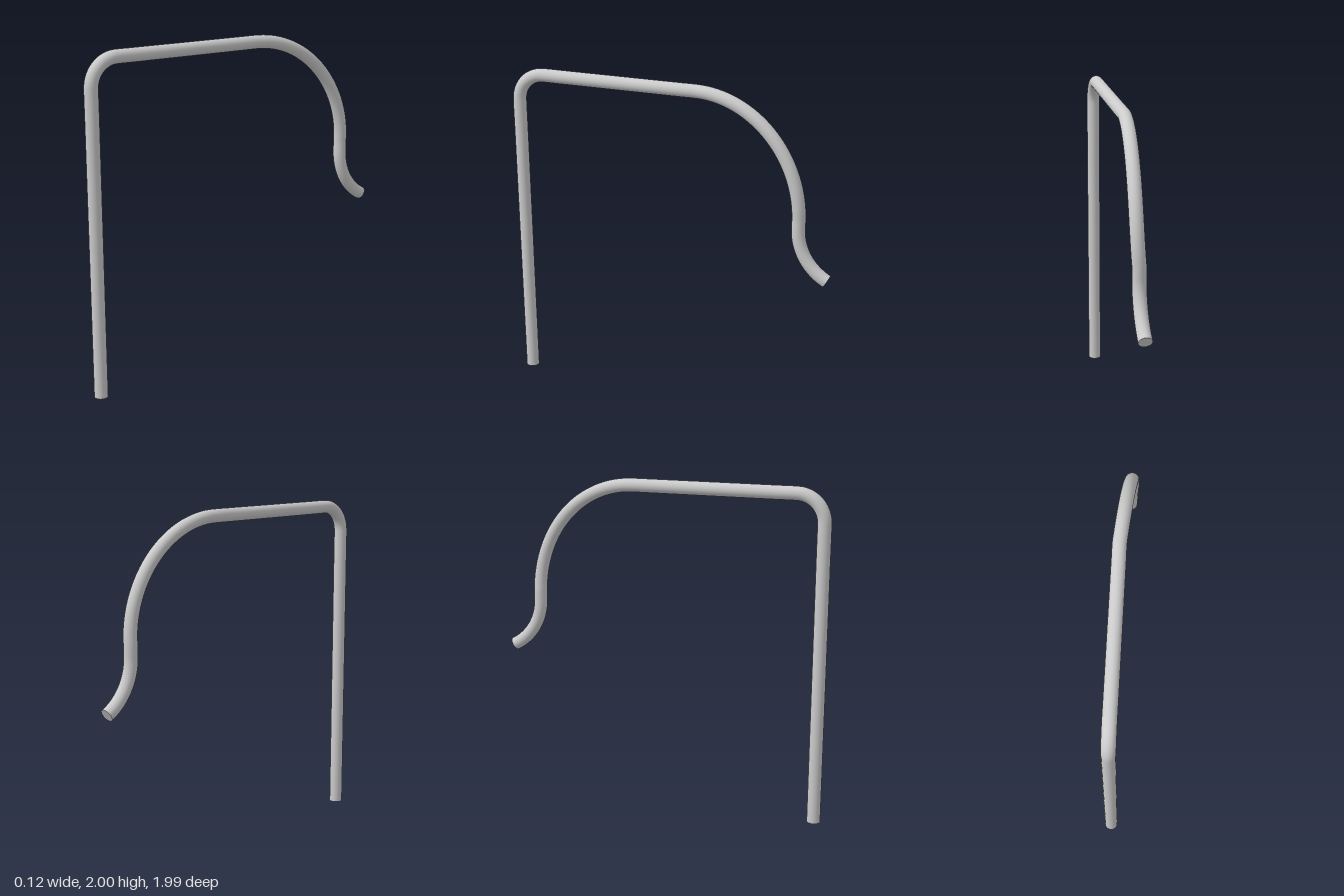
import * as THREE from 'three';

const RADIUS = 0.04, SIDES = 32;

// Quarter or partial elliptical arc in the z/y plane, with x given by a rule
function arc(cz, cy, rz, ry, from, to, steps, xAt) {
  return Array.from({ length: steps + 1 }, (_, i) => {
    const t = i / steps, a = THREE.MathUtils.degToRad(from + (to - from) * t);
    return new THREE.Vector3(xAt(t), cy + ry * Math.sin(a), cz + rz * Math.cos(a));
  });
}

// Straight run, end point excluded
function run(a, b, steps) {
  return Array.from({ length: steps }, (_, i) => a.clone().lerp(b, i / steps));
}

export function createModel() {
  const group = new THREE.Group();
  group.name = 'bentPipe';
  const material = new THREE.MeshStandardMaterial({ color: 0xcccccc });

  const x0 = -0.025, x1 = 0.01;
  const elbow = arc(0.79, 1.8, 0.16, 0.16, 0, 90, 12, () => x0);
  // The large bend swings gently sideways as it falls
  const bend = arc(-0.17, 1.28, 0.63, 0.677, 90, 180, 28,
    t => x0 + 0.05 * Math.sin(t * Math.PI / 2) - 0.015 * t ** 6);
  const hook = arc(-1.14, 1.217, 0.34, 0.34, 0, -62, 14, () => x1);

  const path = new THREE.CatmullRomCurve3([
    ...run(new THREE.Vector3(x0, 0, 0.95), elbow[0], 10), ...elbow,
    ...run(elbow.at(-1), bend[0], 8).slice(1), ...bend, ...hook,
  ], false, 'centripetal');
  path.arcLengthDivisions = 1000;

  const pipe = new THREE.Mesh(new THREE.TubeGeometry(path, 240, RADIUS, SIDES, false), material);
  pipe.name = 'pipe';
  group.add(pipe);

  // Flat discs closing both ends
  for (const [name, t, sign] of [['footCap', 0, -1], ['hookCap', 1, 1]]) {
    const cap = new THREE.Mesh(new THREE.CircleGeometry(RADIUS, SIDES), material);
    cap.name = name;
    cap.position.copy(path.getPointAt(t));
    cap.quaternion.setFromUnitVectors(new THREE.Vector3(0, 0, 1),
      path.getTangentAt(t).multiplyScalar(sign));
    group.add(cap);
  }
  return group;
}
